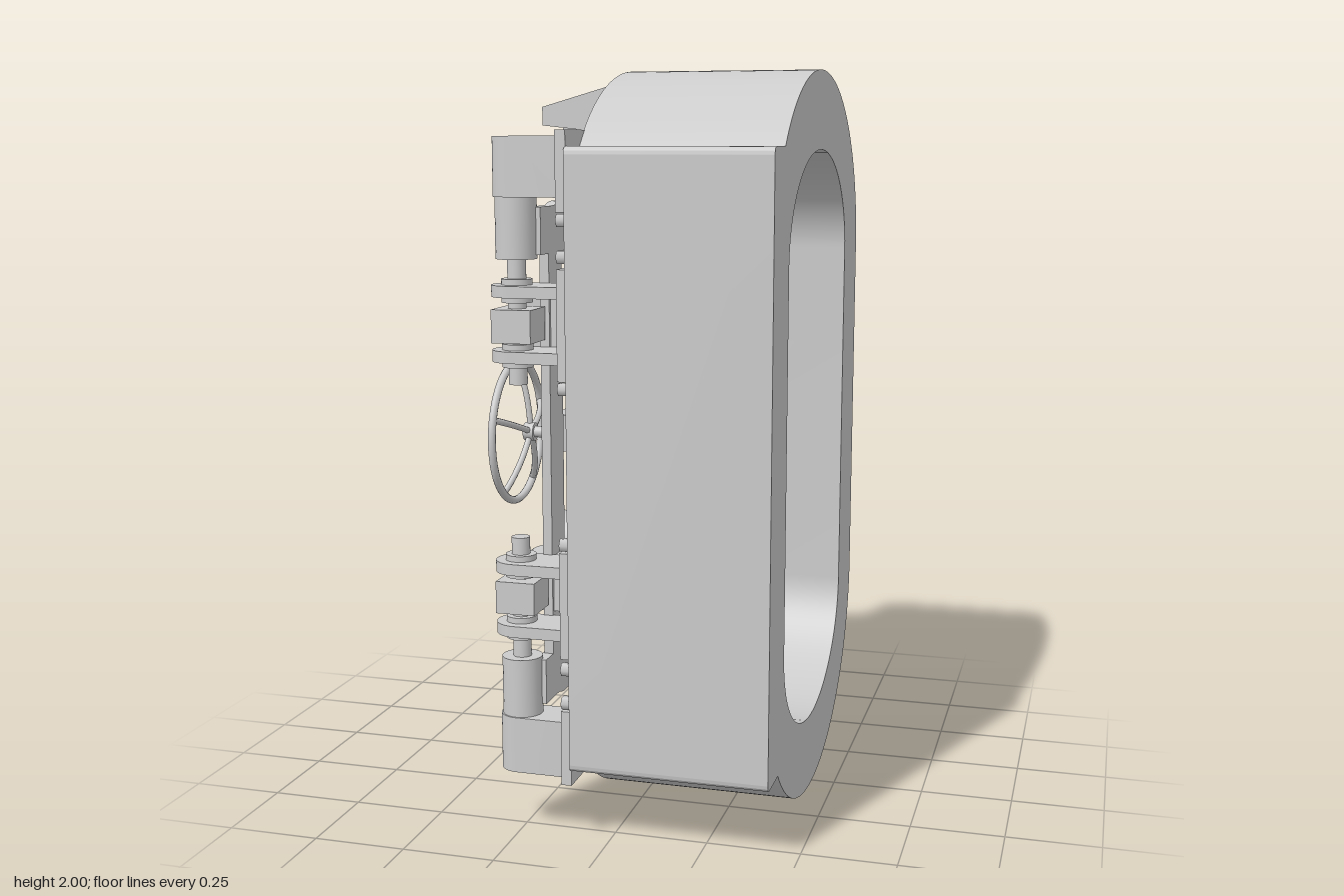
import * as THREE from 'three';
import { toCreasedNormals } from 'three/addons/utils/BufferGeometryUtils.js';

const mat = new THREE.MeshStandardMaterial({ color: 0xcccccc });

function add(parent, name, geo, x = 0, y = 0, z = 0) {
  const m = new THREE.Mesh(geo, mat);
  m.name = name;
  m.position.set(x, y, z);
  parent.add(m);
  return m;
}

// Box given by its limits
function box(parent, name, x0, x1, y0, y1, z0, z1) {
  return add(parent, name, new THREE.BoxGeometry(x1 - x0, y1 - y0, z1 - z0),
    (x0 + x1) / 2, (y0 + y1) / 2, (z0 + z1) / 2);
}

// Cylinder along an axis, from a to b
function rod(parent, name, axis, r, a, b, p, q, sides = 28) {
  const g = new THREE.CylinderGeometry(r, r, b - a, sides);
  const c = (a + b) / 2;
  if (axis === 'x') { g.rotateZ(Math.PI / 2); return add(parent, name, g, c, p, q); }
  if (axis === 'z') { g.rotateX(Math.PI / 2); return add(parent, name, g, p, q, c); }
  return add(parent, name, g, p, c, q);
}

function extrude(shape, depth) {
  return toCreasedNormals(new THREE.ExtrudeGeometry(shape,
    { depth, bevelEnabled: false, curveSegments: 40 }), 0.5);
}

// Shape drawn in (-z, y), extruded from x0 to x1
function plateX(parent, name, shape, x0, x1) {
  return add(parent, name, extrude(shape, x1 - x0).rotateY(Math.PI / 2), x0);
}

// Straight sides with elliptical ends, centred on (u, 1)
function oval(path, u, a, b) {
  path.moveTo(u + a, 0.5);
  path.lineTo(u + a, 1.5);
  path.absellipse(u, 1.5, a, b, 0, Math.PI);
  path.lineTo(u - a, 0.5);
  path.absellipse(u, 0.5, a, b, Math.PI, 2 * Math.PI);
  return path;
}

function roundRect(path, x0, y0, x1, y1, r) {
  path.moveTo(x0 + r, y0);
  path.lineTo(x1 - r, y0); path.quadraticCurveTo(x1, y0, x1, y0 + r);
  path.lineTo(x1, y1 - r); path.quadraticCurveTo(x1, y1, x1 - r, y1);
  path.lineTo(x0 + r, y1); path.quadraticCurveTo(x0, y1, x0, y1 - r);
  path.lineTo(x0, y0 + r); path.quadraticCurveTo(x0, y0, x0 + r, y0);
  return path;
}

// Block with a half-round outer end, base at xBase, extruded along y from 0 to h
function knuckle(xBase, cx, r, h) {
  const s = new THREE.Shape();
  s.moveTo(xBase, -r);
  s.lineTo(xBase, r);
  s.lineTo(cx, r);
  s.absarc(cx, 0, r, Math.PI / 2, Math.PI * 1.5);
  s.lineTo(xBase, -r);
  return extrude(s, h).rotateX(-Math.PI / 2);
}

function bolt(parent, y, z, x = -0.09, r = 0.02) {
  rod(parent, 'bolt', 'x', r, x - 0.025, x + 0.005, y, z, 6);
}

// Catch: base plate, two tapered ribs and a sloping slab.
// Built pointing along +y, with the inner base edge at y = 0.
function wedgeCatch() {
  const g = new THREE.Group();
  g.name = 'wedgeCatch';
  box(g, 'catchBase', -0.11, -0.088, 0, 0.14, -0.145, 0.145);
  const rib = new THREE.Shape([[-0.1, 0], [-0.1, 0.14], [-0.33, 0.075], [-0.33, 0.025]]
    .map(p => new THREE.Vector2(...p)));
  for (const z of [-0.088, 0.07]) add(g, 'catchRib', extrude(rib, 0.018), 0, 0, z);
  const slab = new THREE.Shape([[-0.1, 0], [-0.1, 0.04], [-0.33, 0.06], [-0.33, 0.025]]
    .map(p => new THREE.Vector2(...p)));
  add(g, 'catchSlab', extrude(slab, 0.15), 0, 0, -0.075);
  for (const z of [-0.118, 0.118]) for (const y of [0.03, 0.11]) bolt(g, y, z, -0.108, 0.014);
  return g;
}

// Sliding bolt with its guide, built pointing along +y from the door middle
function slidingBolt() {
  const g = new THREE.Group();
  g.name = 'slidingBolt';
  add(g, 'guide', knuckle(-0.13, -0.235, 0.075, 0.11), 0, 0.335, 0);
  box(g, 'guideFoot', -0.16, -0.13, 0.335, 0.445, -0.12, 0.12);
  for (const z of [-0.1, 0.1]) for (const y of [0.36, 0.42]) bolt(g, y, z, -0.158, 0.012);
  return g;
}

function handwheel() {
  const g = new THREE.Group();
  g.name = 'handwheel';
  const c = [0.99, 0.055], R = 0.2;
  add(g, 'rim', new THREE.TorusGeometry(R, 0.011, 12, 56).rotateY(Math.PI / 2), -0.43, ...c);
  rod(g, 'hub', 'x', 0.026, -0.405, -0.375, ...c);
  rod(g, 'shaft', 'x', 0.016, -0.39, -0.28, ...c);
  rod(g, 'collar', 'x', 0.026, -0.34, -0.3, ...c);
  for (let i = 0; i < 5; i++) {
    const t = Math.PI / 2 + i * Math.PI * 2 / 5;
    const at = (x, r) => new THREE.Vector3(x, c[0] + r * Math.sin(t), c[1] + r * Math.cos(t));
    const curve = new THREE.QuadraticBezierCurve3(at(-0.39, 0.01), at(-0.395, 0.12), at(-0.43, R));
    add(g, 'spoke', new THREE.TubeGeometry(curve, 10, 0.009, 8));
  }
  return g;
}

// Upper half of the hinge side; the lower half is its mirror
function hinge() {
  const g = new THREE.Group();
  g.name = 'hinge';
  const x = -0.245, z = 0.528;
  add(g, 'hingeKnuckle', knuckle(-0.088, x, 0.057, 0.15), 0, 0.675, z);
  box(g, 'hingeFoot', -0.115, -0.088, 0.64, 0.84, 0.45, 0.6);
  rod(g, 'hingeSleeve', 'y', 0.053, 0.52, 0.675, x, z);
  rod(g, 'hingePin', 'y', 0.024, 0.2, 0.68, x, z);
  for (const y of [0.26, 0.425]) {
    add(g, 'hingeLug', knuckle(-0.1, x, 0.065, 0.03), 0, y, z);
    rod(g, 'washer', 'y', 0.04, y - 0.015, y + 0.045, x, z);
  }
  box(g, 'hingeBlock', -0.295, -0.19, 0.31, 0.395, 0.475, 0.585);
  box(g, 'hingeLugFoot', -0.115, -0.088, 0.22, 0.5, 0.45, 0.6);
  // Yoke strap from the sleeve to the door
  box(g, 'yokeArm', -0.21, -0.18, 0.53, 0.65, 0.4, 0.528);
  for (const y of [0.2, 0.53, 0.62]) bolt(g, y, 0.585, -0.09, 0.018);
  return g;
}

export function createModel() {
  const model = new THREE.Group();
  model.name = 'hatch';

  // Thick frame with a flat hinge side
  const frame = new THREE.Shape();
  const t = Math.PI - 0.6435;
  frame.moveTo(0.61, 0.5);
  frame.lineTo(0.61, 1.5);
  frame.absellipse(0, 1.5, 0.61, 0.5, 0, t);
  frame.lineTo(-0.59, 1.8);
  frame.quadraticCurveTo(-0.61, 1.8, -0.61, 1.78);
  frame.lineTo(-0.61, 0.22);
  frame.quadraticCurveTo(-0.61, 0.2, -0.59, 0.2);
  frame.lineTo(-0.488, 0.2);
  frame.absellipse(0, 0.5, 0.61, 0.5, -t, 0);
  frame.holes.push(oval(new THREE.Path(), -0.012, 0.414, 0.29));
  plateX(model, 'frame', frame, -0.09, 0.435);

  // Door leaf
  plateX(model, 'door', oval(new THREE.Shape(), 0, 0.455, 0.335), -0.14, -0.085);

  // Bolts around the frame
  for (const a of [24, 50, 72, 108, 128]) for (const s of [1, -1]) {
    const r = a * Math.PI / 180;
    bolt(model, 1 + s * (0.5 + 0.425 * Math.sin(r)), -0.54 * Math.cos(r));
  }
  for (const y of [0.46, 0.86, 1.14, 1.54]) bolt(model, y, -0.535);

  // Catches at the top, the bottom and the free edge
  const place = (g, y, z, angle) => {
    g.position.set(0, y, z);
    g.rotation.x = angle;
    model.add(g);
  };
  place(wedgeCatch(), 1.83, 0, 0);
  place(wedgeCatch(), 0.17, 0, Math.PI);
  for (const y of [0.66, 1.34]) place(wedgeCatch(), y, -0.45, -Math.PI / 2);

  // Vertical locking bar
  const X = -0.245;
  rod(model, 'verticalBar', 'y', 0.022, 0.2, 1.8, X, 0);
  for (const s of [1, -1]) {
    const g = slidingBolt();
    place(g, 1 + s * 0.26, 0, s > 0 ? 0 : Math.PI);
    const span = (a, b) => [Math.min(1 + s * a, 1 + s * b), Math.max(1 + s * a, 1 + s * b)];
    rod(model, 'boltHead', 'y', 0.053, ...span(0.7, 0.85), X, 0);
    rod(model, 'barSleeve', 'y', 0.053, ...span(0.47, 0.595), X, 0);
  }

  // Cross bars with round gear housings
  for (const y of [0.66, 1.34]) {
    rod(model, 'crossBar', 'z', 0.019, -0.5, 0.5, X, y);
    rod(model, 'gearHousing', 'x', 0.092, -0.328, -0.17, y, 0.01, 40);
    rod(model, 'gearFoot', 'x', 0.05, -0.18, -0.13, y, 0.01);
    for (const s of [1, -1]) {
      const guide = knuckle(-0.13, -0.235, 0.075, 0.11);
      add(model, 'crossGuide', guide, 0, y - 0.055, 0).visible = true;
      const m = model.children[model.children.length - 1];
      m.rotation.x = Math.PI / 2;
      m.position.set(0, y, s > 0 ? 0.35 : -0.445);
      rod(model, 'guideCollar', 'z', 0.035, s > 0 ? 0.34 : -0.34, s > 0 ? 0.36 : -0.32, X, y);
    }
  }

  // Central gearbox and wheel
  box(model, 'gearbox', -0.305, -0.17, 0.945, 1.05, -0.075, 0.1);
  box(model, 'gearboxFoot', -0.18, -0.13, 0.92, 1.075, -0.1, 0.12);
  rod(model, 'gearboxCollar', 'y', 0.04, 0.925, 1.07, X, 0);
  model.add(handwheel());

  // Yoke frame carrying the door
  const yoke = roundRect(new THREE.Shape(), -0.47, 0.34, -0.12, 1.66, 0.1);
  yoke.holes.push(roundRect(new THREE.Path(), -0.37, 0.46, -0.2, 1.54, 0.05));
  plateX(model, 'yoke', yoke, -0.205, -0.18);
  for (const y of [0.42, 1.58]) box(model, 'yokePost', -0.19, -0.13, y - 0.04, y + 0.04, 0.13, 0.3);

  // Hinges, mirrored about mid height
  for (const s of [1, -1]) {
    const g = hinge();
    g.position.y = 1;
    g.scale.y = s;
    model.add(g);
  }
  return model;
}
